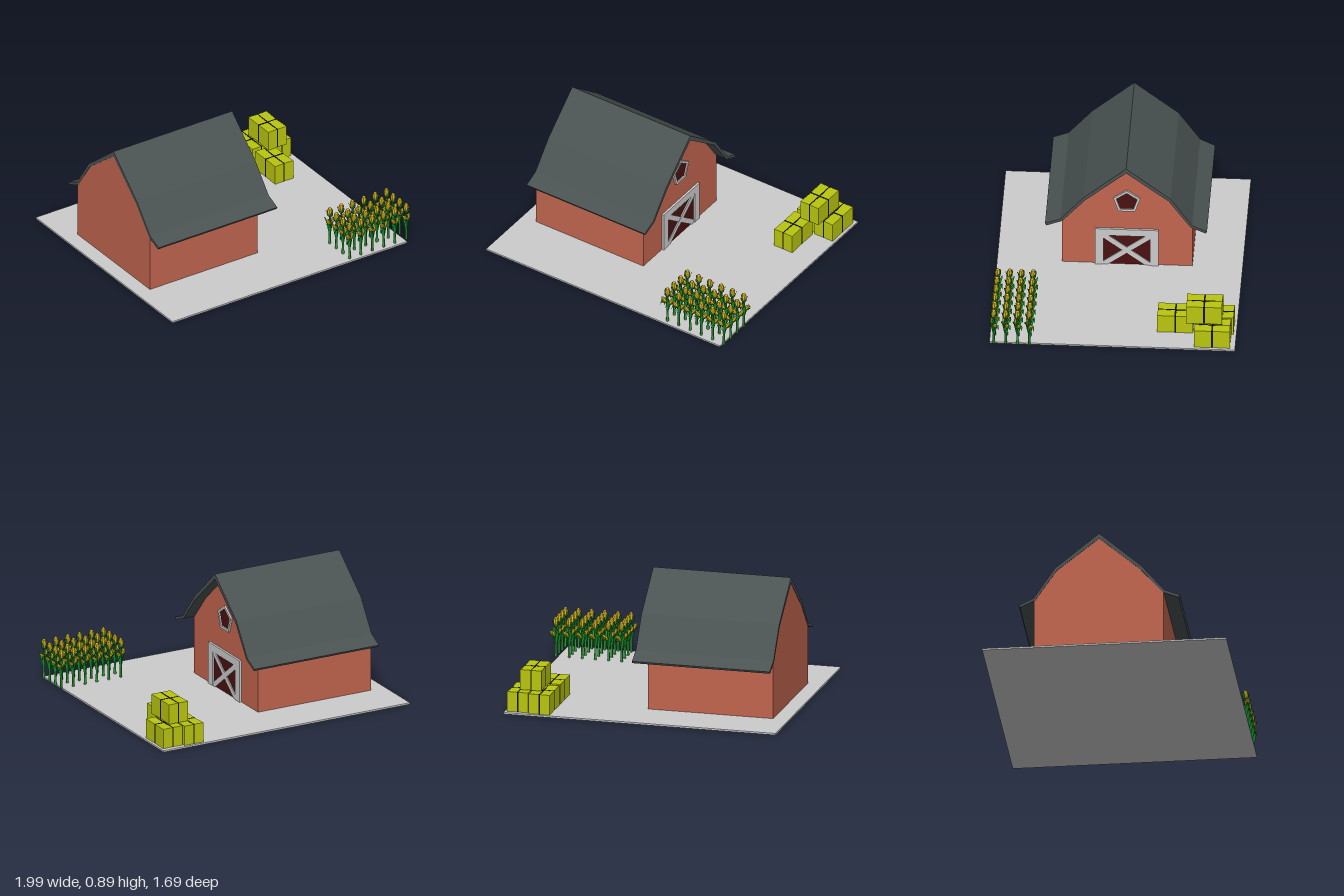
import * as THREE from 'three';

const mat = (color, extra = {}) => new THREE.MeshStandardMaterial({ color, ...extra });
const GROUND = 0.012;

// Extrudes an outline drawn as (-z, y) along +x, from x0 to x1
function extrudeX(points, x0, x1, hole) {
  const shape = new THREE.Shape(points.map(p => new THREE.Vector2(...p)));
  if (hole) shape.holes.push(new THREE.Path(hole.map(p => new THREE.Vector2(...p))));
  const geo = new THREE.ExtrudeGeometry(shape, { depth: x1 - x0, bevelEnabled: false });
  return geo.rotateY(Math.PI / 2).translate(x0, 0, 0);
}

// Tapered leaf with a creased middle, running out along +x
function leafGeometry(points, width) {
  const curve = new THREE.CatmullRomCurve3(points.map(p => new THREE.Vector3(p[0], p[1], 0)));
  const pos = [], idx = [], n = 6;
  for (let i = 0; i <= n; i++) {
    const p = curve.getPoint(i / n);
    const w = width * Math.sin(Math.PI * (0.12 + 0.86 * i / n));
    pos.push(p.x, p.y + w * 0.4, -w, p.x, p.y, 0, p.x, p.y + w * 0.4, w);
    if (i < n) for (const k of [0, 1]) {
      const a = i * 3 + k;
      idx.push(a, a + 1, a + 3, a + 1, a + 4, a + 3);
    }
  }
  const geo = new THREE.BufferGeometry();
  geo.setAttribute('position', new THREE.Float32BufferAttribute(pos, 3));
  geo.setIndex(idx);
  geo.computeVertexNormals();
  return geo;
}

function pentagon(r, cu, cy) {
  return Array.from({ length: 5 }, (_, i) => {
    const a = Math.PI / 2 + i * Math.PI * 2 / 5;
    return [cu + r * Math.cos(a), cy + r * Math.sin(a)];
  });
}

export function createModel() {
  const model = new THREE.Group();
  const grey = mat(0xcccccc);
  const add = (parent, name, geo, material) => {
    const mesh = new THREE.Mesh(geo, material);
    mesh.name = name;
    parent.add(mesh);
    return mesh;
  };

  // Ground slab
  add(model, 'ground', new THREE.BoxGeometry(1.935, GROUND, 1.685).translate(-0.0325, GROUND / 2, -0.0075), grey);

  // Barn body and gambrel roof
  const barn = new THREE.Group();
  barn.name = 'barn';
  model.add(barn);
  add(barn, 'walls', extrudeX([
    [-0.39, GROUND], [0.505, GROUND], [0.505, 0.414], [0.353, 0.627],
    [0.055, 0.86], [-0.23, 0.615], [-0.39, 0.43],
  ], -0.889, 0), mat(0xc2654f));
  add(barn, 'roof', extrudeX([
    [-0.493, 0.383], [-0.385, 0.425], [-0.225, 0.612], [0.055, 0.855], [0.348, 0.625], [0.497, 0.408], [0.602, 0.36],
    [0.61, 0.375], [0.508, 0.425], [0.36, 0.645], [0.055, 0.893], [-0.235, 0.635], [-0.395, 0.443], [-0.502, 0.4],
  ], -0.892, 0.087), mat(0x4a5252));

  // Barn door: panel, frame and crossed braces
  const dark = mat(0x4a1010);
  const [u0, u1, y0, y1] = [-0.105, 0.214, GROUND, 0.26];
  add(barn, 'doorPanel', extrudeX([[u0, y0], [u1, y0], [u1, y1], [u0, y1]], -0.002, 0.004), dark);
  add(barn, 'doorFrame', extrudeX([
    [-0.164, y0], [u0, y0], [u0, y1], [u1, y1], [u1, y0], [0.273, y0], [0.273, 0.315], [-0.164, 0.315],
  ], -0.002, 0.016), grey);
  const a = 0.03, b = 0.024;
  const brace = [[u0, y0], [u0 + a, y0], [u1, y1 - b], [u1, y1], [u1 - a, y1], [u0, y0 + b]];
  const mirrored = brace.map(([u, y]) => [u0 + u1 - u, y]).reverse();
  add(barn, 'doorBrace', extrudeX(brace, 0, 0.012), grey);
  add(barn, 'doorBrace', extrudeX(mirrored, 0, 0.0115), grey);

  // Five-sided loft window
  add(barn, 'loftWindow', extrudeX(pentagon(0.08, 0.055, 0.55), -0.002, 0.004), dark);
  add(barn, 'loftWindowFrame', extrudeX(pentagon(0.097, 0.055, 0.55), -0.002, 0.014, pentagon(0.076, 0.055, 0.55)), grey);

  // Hay bales, pinched where the straps run
  const [bw, bh, bd] = [0.15, 0.143, 0.248];
  const baleGeo = new THREE.BoxGeometry(bw, bh, bd, 2, 2, 2);
  const bp = baleGeo.attributes.position;
  for (let i = 0; i < bp.count; i++) {
    const [x, y, z] = [bp.getX(i), bp.getY(i), bp.getZ(i)];
    const pinch = Math.abs(z) < 1e-4 ? 0.96 : 1;
    bp.setXYZ(i, x * pinch, y * pinch, z * (Math.abs(x) < 1e-4 ? 0.98 : 1));
  }
  baleGeo.computeVertexNormals();
  const strapA = new THREE.BoxGeometry(bw * 0.97, bh * 0.975, 0.011);
  const strapB = new THREE.BoxGeometry(0.008, bh * 1.002, bd * 0.985);
  const hay = mat(0xbac60f, { flatShading: true }), strapMat = mat(0x101010);
  const low = GROUND + bh / 2 - 0.002;
  for (const [x, y, z] of [
    [0.685, low, -0.708], [0.842, low, -0.692], [0.685, low, -0.43], [0.765, low + bh + 0.003, -0.633],
  ]) {
    const bale = new THREE.Group();
    bale.name = 'hayBale';
    bale.position.set(x, y, z);
    add(bale, 'hay', baleGeo, hay);
    add(bale, 'crossStrap', strapA, strapMat);
    add(bale, 'longStrap', strapB, strapMat);
    model.add(bale);
  }

  // Corn plant parts
  const stalkGeo = new THREE.CylinderGeometry(0.006, 0.009, 0.22, 6).translate(0, 0.11, 0);
  const cobGeo = new THREE.LatheGeometry(
    [[0, 0], [0.012, 0.006], [0.019, 0.025], [0.018, 0.045], [0.011, 0.064], [0, 0.072]]
      .map(p => new THREE.Vector2(...p)), 8);
  const huskGeo = leafGeometry([[0.004, -0.012], [0.019, 0.012], [0.024, 0.035], [0.03, 0.045]], 0.012);
  const leafGeo = leafGeometry([[0.003, 0.07], [0.014, 0.12], [0.03, 0.165], [0.043, 0.165], [0.05, 0.14]], 0.013);
  const tallLeafGeo = leafGeometry([[0.003, 0.09], [0.014, 0.14], [0.03, 0.185], [0.042, 0.205]], 0.011);
  const stalkMat = mat(0x2c9c34);
  const leafMat = mat(0x149a2c, { side: THREE.DoubleSide });
  const huskMat = mat(0x1c6a26, { side: THREE.DoubleSide });
  const cobMat = mat(0xd2b41c, { flatShading: true });

  function cob(size, husks) {
    const group = new THREE.Group();
    group.name = 'cob';
    add(group, 'kernels', cobGeo, cobMat);
    for (let i = 0; i < husks; i++) add(group, 'husk', huskGeo, huskMat).rotation.y = i * Math.PI * 2 / husks + 0.5;
    group.scale.setScalar(size);
    return group;
  }

  function cornPlant() {
    const plant = new THREE.Group();
    plant.name = 'cornPlant';
    add(plant, 'stalk', stalkGeo, stalkMat);
    const top = cob(1, 3);
    top.position.y = 0.216;
    plant.add(top);
    // Two side cobs leaning outward
    for (const s of [-1, 1]) {
      const side = cob(0.75, 2);
      side.position.set(s * 0.006, s > 0 ? 0.145 : 0.16, -s * 0.005);
      side.rotation.set(-s * 0.25, 0, -s * 0.6);
      plant.add(side);
    }
    for (let i = 0; i < 4; i++) {
      add(plant, 'leaf', i % 2 ? tallLeafGeo : leafGeo, leafMat).rotation.y = 0.7 + i * Math.PI / 2;
    }
    return plant;
  }

  // Corn patch, six by four
  const field = new THREE.Group();
  field.name = 'cornField';
  for (let i = 0; i < 6; i++) for (let j = 0; j < 4; j++) {
    const plant = cornPlant();
    plant.position.set(0.481 + i * 0.0935, GROUND, 0.56 + j * 0.081);
    field.add(plant);
  }
  model.add(field);
  return model;
}
